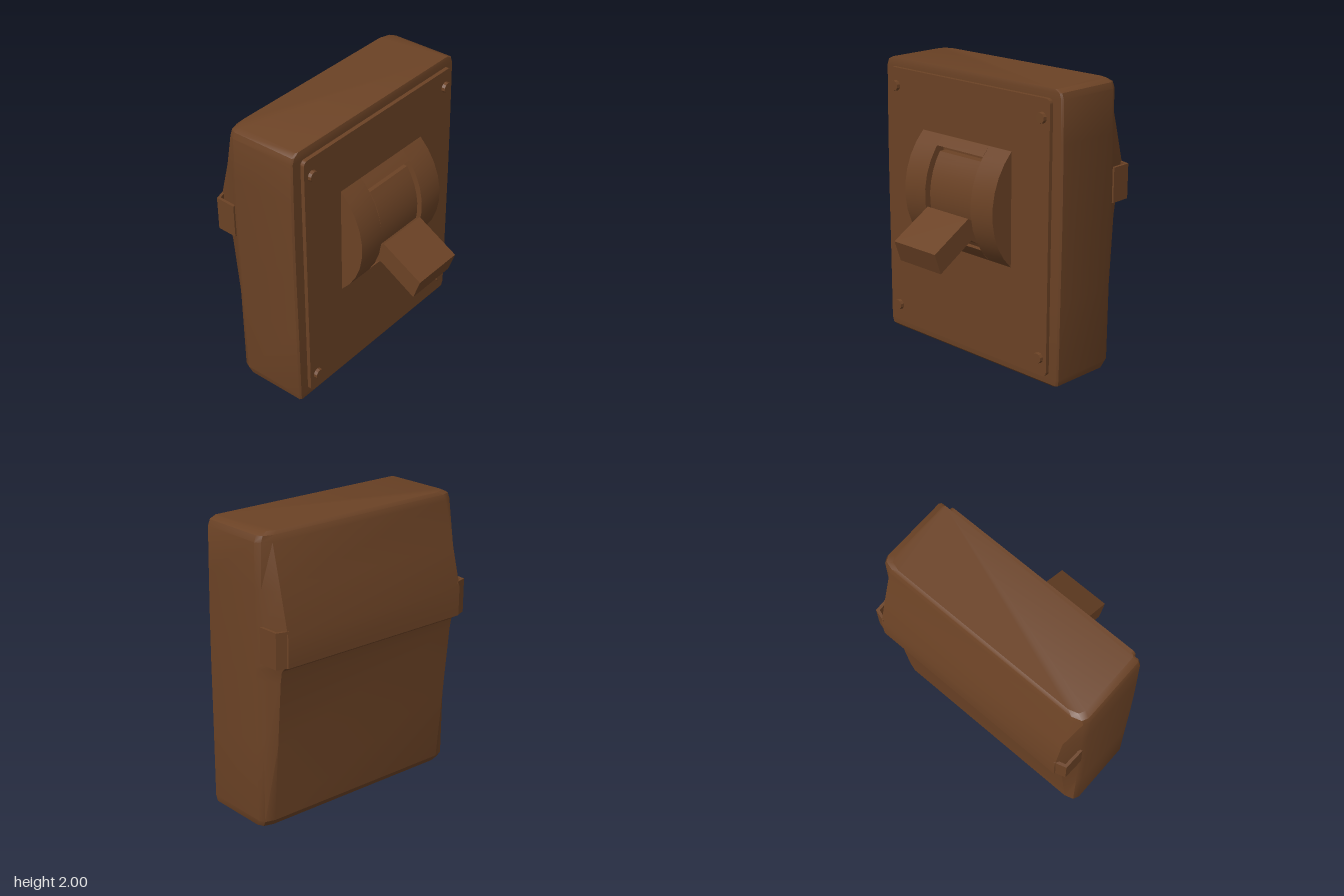
import * as THREE from 'three';
import { toCreasedNormals } from 'three/addons/utils/BufferGeometryUtils.js';

const brown = new THREE.MeshStandardMaterial({ color: 0x6b4225 });
brown.name = 'brown';

function add(parent, name, geometry, x = 0, y = 0, z = 0) {
  const mesh = new THREE.Mesh(toCreasedNormals(geometry, 0.5), brown);
  mesh.name = name;
  mesh.position.set(x, y, z);
  parent.add(mesh);
  return mesh;
}

// Extrude a side outline of [z, y] points from x0 to x1
function sideExtrude(points, x0, x1) {
  const shape = new THREE.Shape(points.map(([z, y]) => new THREE.Vector2(-z, y)));
  const g = new THREE.ExtrudeGeometry(shape, { depth: x1 - x0, bevelEnabled: false });
  return g.rotateY(Math.PI / 2).translate(x0, 0, 0);
}

// Housing: horizontal cross-sections [y, half width, front z, back z]
function housingGeometry() {
  const levels = [
    [0, 0.78, 0.08, -0.38], [0.015, 0.81, 0.095, -0.41], [0.06, 0.82, 0.1, -0.44],
    [0.6, 0.823, 0.1, -0.485], [1.05, 0.827, 0.1, -0.522], [1.13, 0.827, 0.1, -0.535],
    [1.16, 0.827, 0.1, -0.565], [1.17, 0.827, 0.1, -0.6], [1.37, 0.827, 0.1, -0.6],
    [1.65, 0.824, 0.1, -0.528], [1.94, 0.82, 0.1, -0.45], [1.98, 0.805, 0.1, -0.438], [2, 0.765, 0.095, -0.42],
  ];
  const pos = [], idx = [];
  for (const [y, w, f, b] of levels) {
    const c = Math.max(b, -0.44) + 0.02;
    const half = [[w - 0.012, f], [w, f - 0.012], [w, c + 0.04], [w - 0.02, c], [w - 0.085, b]];
    const ring = [...half, ...half.map(([x, z]) => [-x, z]).reverse()];
    for (const [x, z] of ring) pos.push(x, y, z);
  }
  const n = 10;
  for (let i = 0; i < levels.length - 1; i++) {
    for (let j = 0; j < n; j++) {
      const k = (j + 1) % n, a = i * n, u = a + n;
      idx.push(a + j, a + k, u + k, a + j, u + k, u + j);
    }
  }
  const t = (levels.length - 1) * n;
  for (let j = 1; j < n - 1; j++) {
    idx.push(0, j + 1, j, t, t + j, t + j + 1);
  }
  const g = new THREE.BufferGeometry();
  g.setAttribute('position', new THREE.Float32BufferAttribute(pos, 3));
  g.setIndex(idx);
  return g;
}

function roundedPlate(w, h, r, depth) {
  const s = new THREE.Shape(), x = w / 2, y = h / 2;
  s.absarc(x - r, y - r, r, 0, Math.PI / 2);
  s.absarc(-x + r, y - r, r, Math.PI / 2, Math.PI);
  s.absarc(-x + r, -y + r, r, Math.PI, Math.PI * 1.5);
  s.absarc(x - r, -y + r, r, Math.PI * 1.5, Math.PI * 2);
  return new THREE.ExtrudeGeometry(s, { depth, bevelEnabled: false, curveSegments: 4 });
}

// Part of a disc between two heights, closed by a flat back
function arcOutline(radius, y0, y1, backZ, steps = 9) {
  const cy = 1.155, cz = -0.223;
  const a0 = Math.asin((y0 - cy) / radius), a1 = Math.asin((y1 - cy) / radius);
  const pts = [[backZ, y1], [backZ, y0]];
  for (let i = 0; i <= steps; i++) {
    const a = a0 + (a1 - a0) * i / steps;
    pts.push([cz + radius * Math.cos(a), cy + radius * Math.sin(a)]);
  }
  return pts;
}

export function createModel() {
  const model = new THREE.Group();
  model.name = 'toggleSwitch';

  add(model, 'housing', housingGeometry());

  // Cover plate on a slightly smaller gasket
  add(model, 'gasket', roundedPlate(1.47, 1.83, 0.03, 0.04), 0, 1.008, 0.08);
  add(model, 'coverPlate', roundedPlate(1.5, 1.865, 0.035, 0.028), 0, 1.008, 0.108);

  // Corner screws
  for (const x of [-0.68, 0.685]) {
    for (const y of [0.2, 1.815]) {
      const g = new THREE.CylinderGeometry(0.036, 0.04, 0.04, 10).rotateX(Math.PI / 2);
      add(model, 'screw', g, x, y, 0.14);
    }
  }

  // Curved switch guard: two cheeks joined above and below the slot
  const guard = new THREE.Group();
  guard.name = 'switchGuard';
  model.add(guard);
  const cheek = arcOutline(0.533, 0.76, 1.55, 0.12);
  add(guard, 'rightCheek', sideExtrude(cheek, -0.41, -0.21));
  add(guard, 'leftCheek', sideExtrude(cheek, 0.225, 0.425));
  add(guard, 'topBridge', sideExtrude(arcOutline(0.533, 1.485, 1.55, 0.12, 2), -0.21, 0.225));
  add(guard, 'bottomBridge', sideExtrude(arcOutline(0.533, 0.76, 0.85, 0.12, 2), -0.21, 0.225));

  // Rocker drum and its lever
  add(model, 'rocker', sideExtrude(arcOutline(0.51, 0.86, 1.45, 0.12), -0.185, 0.205));
  const lever = [[0.2, 1.015], [0.2, 0.88], [0.285, 0.93], [0.56, 0.765], [0.612, 0.91], [0.31, 1.085]];
  add(model, 'lever', sideExtrude(lever, -0.185, 0.205));

  // Thin open loops at the rear corners
  for (const s of [-1, 1]) {
    const outline = [[0.82, -0.42], [0.815, -0.57], [0.73, -0.595], [0.73, -0.575], [0.795, -0.555], [0.8, -0.42]];
    const shape = new THREE.Shape(outline.map(([x, z]) => new THREE.Vector2(s * x, -z)));
    const g = new THREE.ExtrudeGeometry(shape, { depth: 0.24, bevelEnabled: false }).rotateX(-Math.PI / 2);
    add(model, s < 0 ? 'rightRearLoop' : 'leftRearLoop', g, 0, 1.17, 0);
  }
  return model;
}
